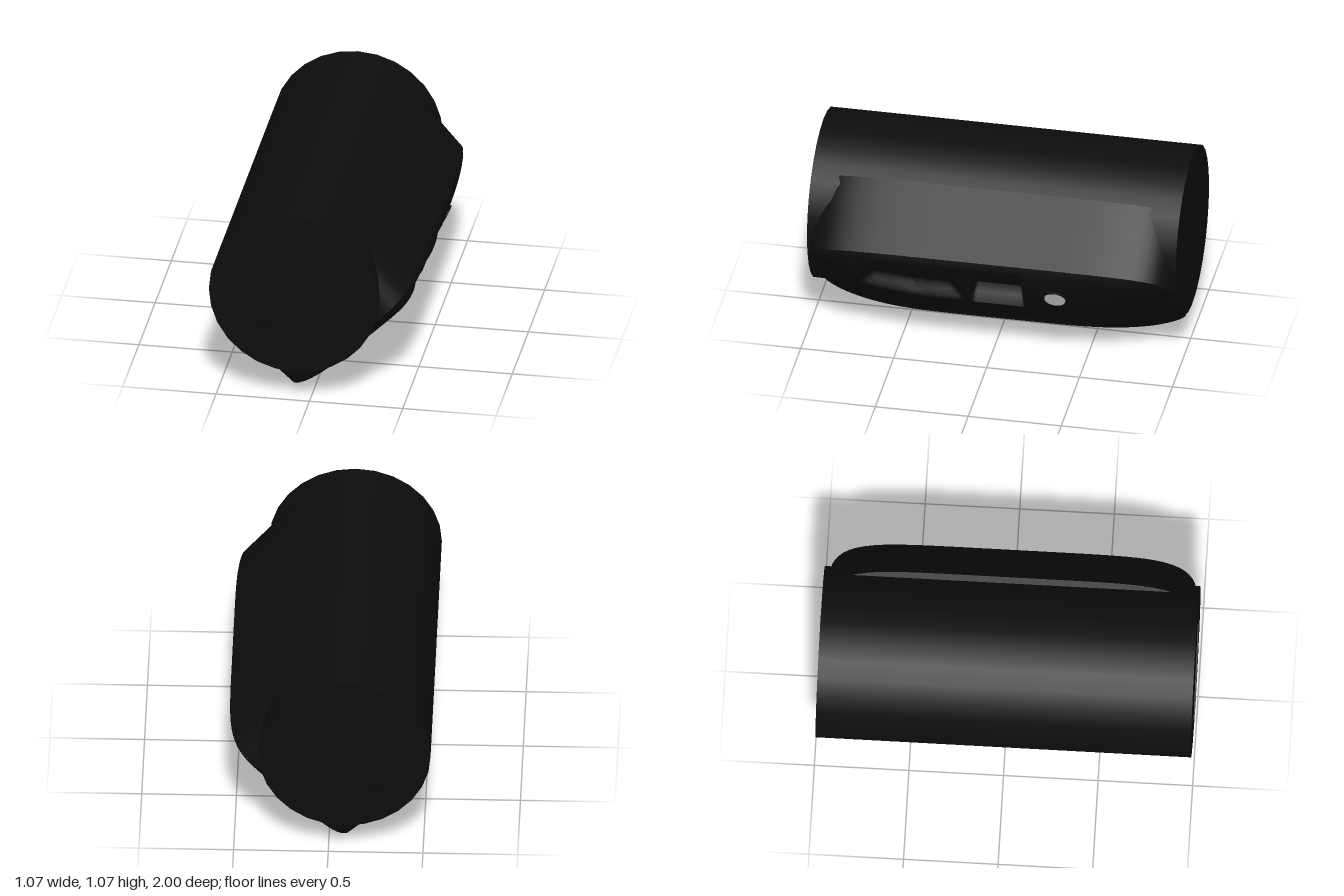
import * as THREE from 'three';

const HALF_U = 0.468, HALF_Z = 0.98, RIM = 0.4, DOME = 0.145, POWER = 6;

// Rounded-rectangle radius measure: 1 on the outline
const gauge = (a, b) => Math.pow(Math.abs(a) ** POWER + Math.abs(b) ** POWER, 1 / POWER);

// Recesses in the face plate: x and z ranges, depth, and the width of the sloping walls
const recesses = [
  { x: [-0.43, -0.17], z: [0.12, 0.72], depth: 0.08, rampX: 0.03, rampZ: 0.1 },
  { x: [-0.43, -0.17], z: [-0.19, 0.1], depth: 0.1, rampX: 0.015, rampZ: 0.02 },
];

const clamp01 = (t) => Math.min(1, Math.max(0, t));

function domeHeight(x, z) {
  const t = gauge(x / HALF_U, z / HALF_Z);
  return RIM + DOME * Math.pow(Math.max(0, 1 - t ** 3), 0.8);
}

function recessDepth(x, z) {
  let depth = 0;
  for (const r of recesses) {
    const dx = Math.min(x - r.x[0], r.x[1] - x) / r.rampX;
    const dz = Math.min(z - r.z[0], r.z[1] - z) / r.rampZ;
    depth = Math.max(depth, r.depth * clamp01(Math.min(dx, dz)));
  }
  // shallow slot with round ends
  const d = 0.085 - Math.hypot(x - 0.155, Math.max(0, Math.abs(z) - 0.475));
  return Math.max(depth, 0.016 * clamp01(d / 0.015));
}

// Domed front plate, a grid fitted to the rounded outline
function faceGeometry() {
  const geo = new THREE.PlaneGeometry(2, 2, 84, 168).rotateX(-Math.PI / 2);
  const p = geo.attributes.position;
  for (let i = 0; i < p.count; i++) {
    const a = p.getX(i), b = p.getZ(i);
    const r = Math.max(Math.abs(a), Math.abs(b));
    const k = r > 0 ? r / gauge(a, b) : 0;
    const x = a * k * HALF_U, z = b * k * HALF_Z;
    p.setXYZ(i, x, domeHeight(x, z) - recessDepth(x, z), z);
  }
  geo.computeVertexNormals();
  return geo;
}

// Tapered walls between the barrel and the face plate
function wallGeometry() {
  const geo = new THREE.CylinderGeometry(1, 1, 1, 160, 3, true);
  const p = geo.attributes.position;
  for (let i = 0; i < p.count; i++) {
    const f = p.getY(i) + 0.5;
    const a = p.getX(i), b = p.getZ(i);
    const k = 1 / gauge(a, b);
    p.setXYZ(i, a * k * (0.488 - 0.02 * f), f * RIM, b * k * (1 - 0.02 * f));
  }
  geo.computeVertexNormals();
  return geo;
}

// Flat back of the housing
function backGeometry() {
  const geo = new THREE.CircleGeometry(1, 160).rotateX(Math.PI / 2);
  const p = geo.attributes.position;
  for (let i = 1; i < p.count; i++) {
    const a = p.getX(i), b = p.getZ(i), k = 1 / gauge(a, b);
    p.setXYZ(i, a * k * 0.488, 0, b * k);
  }
  return geo;
}

export function createModel() {
  const model = new THREE.Group();
  model.name = 'tiltedBarrelHousing';
  const black = new THREE.MeshStandardMaterial({ color: 0x0d0d0d });
  black.name = 'black';
  const lightGrey = new THREE.MeshStandardMaterial({ color: 0xd0d0d0 });
  lightGrey.name = 'lightGrey';

  const add = (parent, name, geo, mat) => {
    const mesh = new THREE.Mesh(geo, mat);
    mesh.name = name;
    parent.add(mesh);
    return mesh;
  };

  // Long round barrel along z
  const barrel = add(model, 'barrel',
    new THREE.CylinderGeometry(0.455, 0.455, 1.984, 28).rotateX(Math.PI / 2), black);
  barrel.position.set(-0.085, 0.62, 0);

  // Head turned so that its face points down and to the side
  const head = new THREE.Group();
  head.name = 'head';
  head.position.copy(barrel.position);
  head.rotation.z = -2.372;
  model.add(head);
  add(head, 'headWalls', wallGeometry(), black);
  add(head, 'headBack', backGeometry(), black);
  add(head, 'facePlate', faceGeometry(), black);

  // Round light with a thin dark rim
  const lamp = new THREE.Group();
  lamp.name = 'lamp';
  lamp.position.set(-0.3, domeHeight(-0.3, -0.365), -0.365);
  lamp.rotation.z = 0.31;
  head.add(lamp);
  add(lamp, 'lampDisc', new THREE.CylinderGeometry(0.056, 0.056, 0.009, 32), lightGrey);
  add(lamp, 'lampRim', new THREE.TorusGeometry(0.062, 0.006, 8, 32).rotateX(Math.PI / 2), black);

  return model;
}
